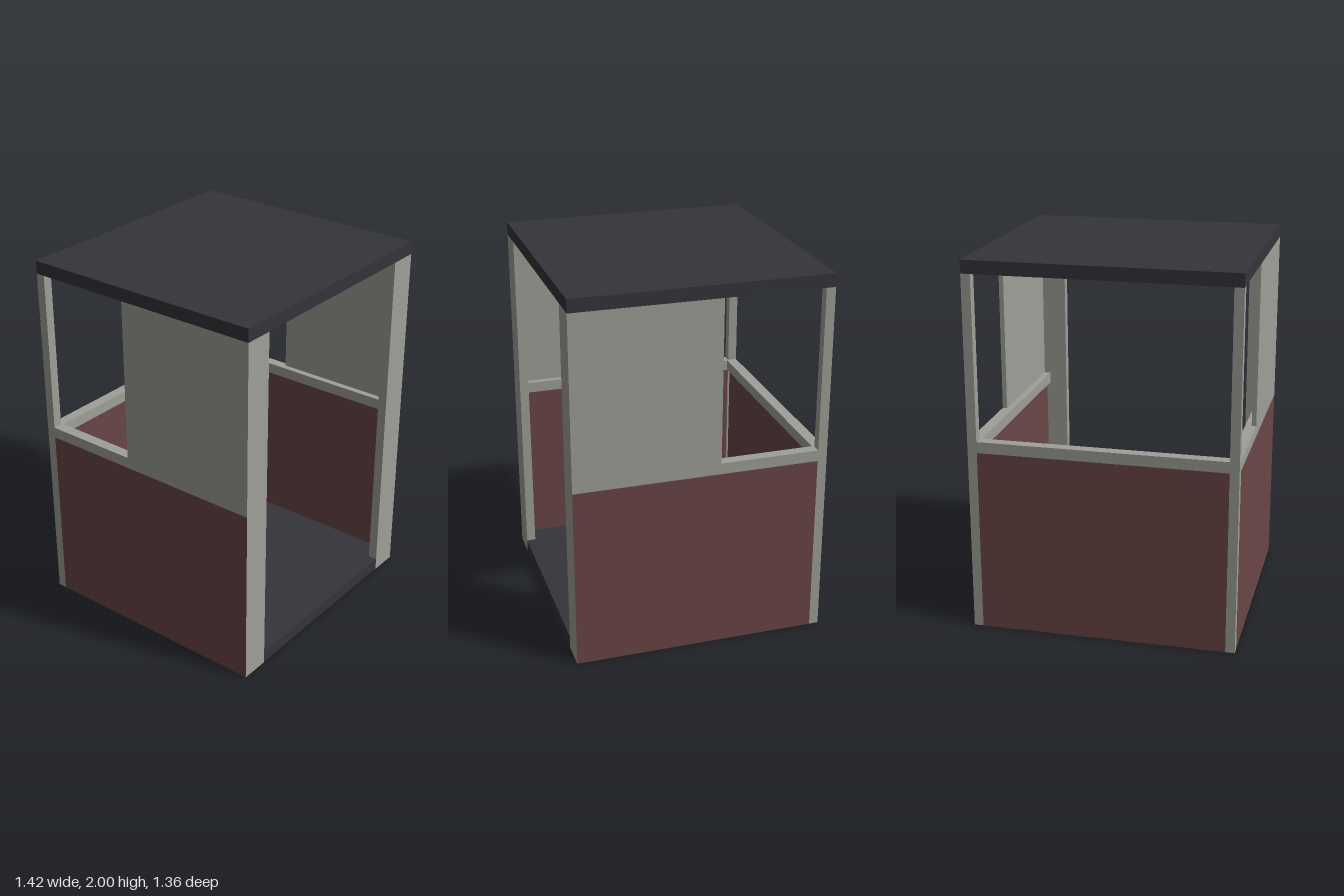
import * as THREE from 'three';

export function createModel() {
  const model = new THREE.Group();
  model.name = 'booth';
  const mat = (name, color) => Object.assign(new THREE.MeshStandardMaterial({ color }), { name });
  const frame = mat('frame grey', 0xa0a09a);
  const panel = mat('panel red', 0x6b4646);
  const dark = mat('slab charcoal', 0x35343b);

  const X = 0.71, Z = 0.68, ROOF = 1.93, SILL = 0.99, RAIL = 1.05, POST = 0.05;

  // Box given by its limits on each axis
  function box(name, material, [x0, x1], [y0, y1], [z0, z1]) {
    const mesh = new THREE.Mesh(new THREE.BoxGeometry(x1 - x0, y1 - y0, z1 - z0), material);
    mesh.position.set((x0 + x1) / 2, (y0 + y1) / 2, (z0 + z1) / 2);
    mesh.name = name;
    model.add(mesh);
  }

  // Roof and floor slabs
  box('roof', dark, [-X, X], [ROOF, 2], [-Z, Z]);
  box('floor', dark, [-X + 0.04, X - 0.04], [0.004, 0.07], [-Z + 0.04, Z - POST]);
  box('threshold', dark, [-0.55, 0.55], [0.004, 0.07], [Z - POST, Z]);

  // Back wall and sill rail
  box('backWall', panel, [-X + POST, X - POST], [0, SILL], [-Z, -Z + 0.04]);
  box('backRail', frame, [-X + POST, X - POST], [SILL, RAIL], [-Z, -Z + 0.06]);

  for (const s of [1, -1]) {
    const side = s > 0 ? 'left' : 'right';
    const span = (a, b) => (s > 0 ? [a, b] : [-b, -a]);

    // Front pillar; its lower outer face carries the wall colour
    const faces = Array(6).fill(frame);
    faces[s > 0 ? 0 : 1] = panel;
    box(side + 'FrontPillarLower', faces, span(0.55, X), [0, SILL], [Z - POST, Z]);
    box(side + 'FrontPillarUpper', frame, span(0.55, X), [SILL, ROOF], [Z - POST, Z]);

    // Slim rear corner post
    box(side + 'RearPost', frame, span(X - POST, X), [0, ROOF], [-Z, -Z + POST]);

    // Side wall, sill rail and solid panel in front of the window
    box(side + 'Wall', panel, span(X - 0.04, X), [0, SILL], [-Z + POST, Z - POST]);
    box(side + 'Rail', frame, span(X - 0.06, X), [SILL, RAIL], [-Z + POST, Z - POST]);
    box(side + 'UpperPanel', frame, span(X - 0.025, X), [RAIL, ROOF], [-0.1, Z - POST]);
  }
  return model;
}
